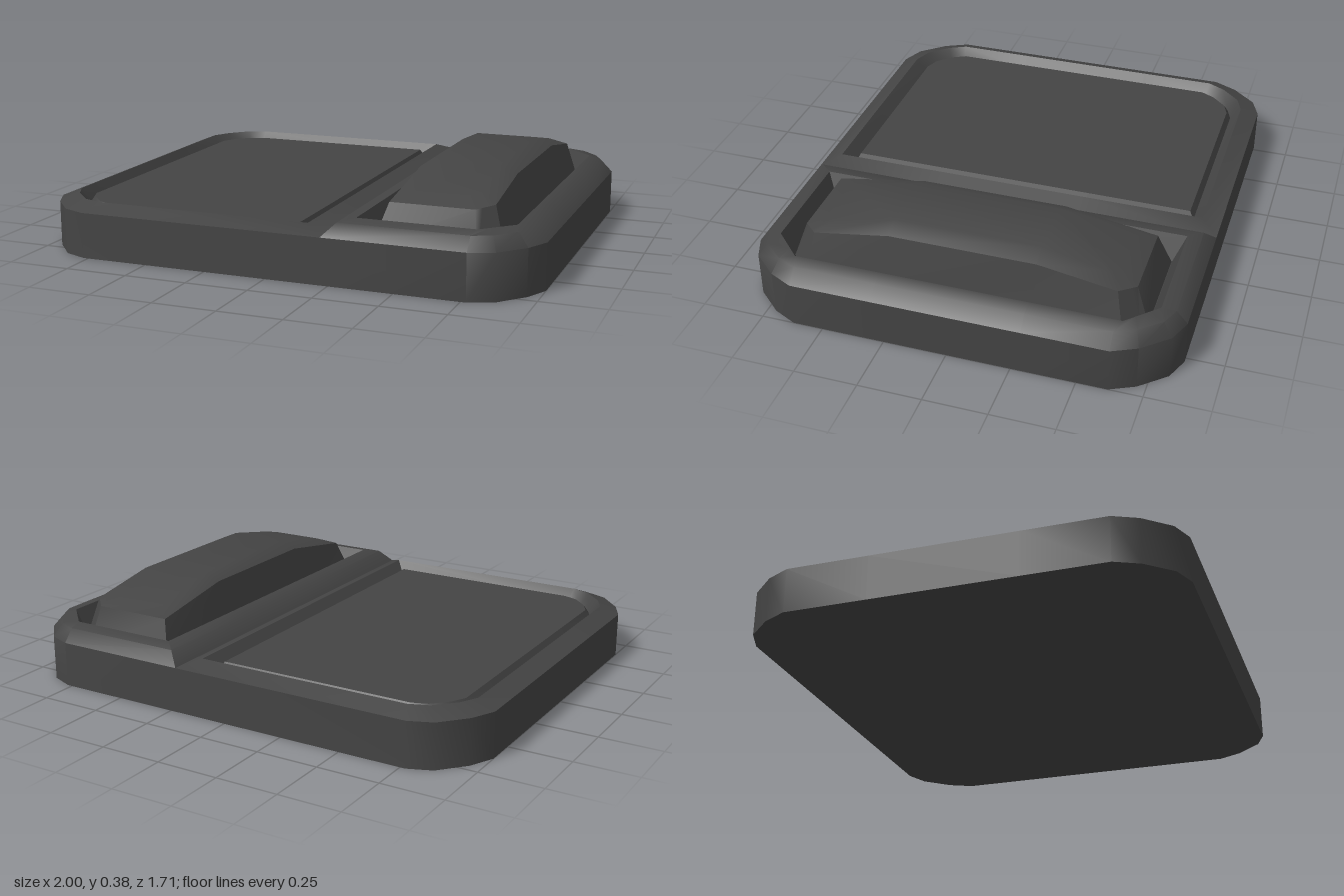
import * as THREE from 'three';
import { toCreasedNormals } from 'three/addons/utils/BufferGeometryUtils.js';

const ROUND = [[0, 1], [0.41, 0.84], [0.8, 0.41], [1, 0]];
const CHAMFER = [[0, 1], [1 / 3, 2 / 3], [2 / 3, 1 / 3], [1, 0]];
const MID = 0.29;

// One closed outline: a straight side at xs, a cut-cornered side at xr.
// y is a height, or a rule giving height from z.
function ring(y, xs, xr, z, cx, cz, corner = ROUND) {
  const s = Math.sign(xr - xs);
  const height = typeof y === 'function' ? y : () => y;
  const half = [[xs, z], ...corner.map(([u, v]) => [xr - s * cx * (1 - u), z - cz * (1 - v)]), [xr, MID]];
  const back = half.map(([px, pz]) => [px, -pz]).reverse();
  return [...half, ...back, [xs, -MID], [xs, MID]].map(([px, pz]) => new THREE.Vector3(px, height(pz), pz));
}

// Skins stacked outlines and closes both ends; flip for outlines mirrored in x.
function loft(rings, flip = false) {
  const pos = [];
  const tri = (a, b, c) => {
    for (const p of flip ? [a, c, b] : [a, b, c]) pos.push(p.x, p.y, p.z);
  };
  for (let k = 0; k < rings.length - 1; k++) {
    const lo = rings[k], hi = rings[k + 1], n = lo.length;
    for (let i = 0; i < n; i++) {
      const j = (i + 1) % n;
      tri(lo[i], lo[j], hi[j]);
      tri(lo[i], hi[j], hi[i]);
    }
  }
  const cap = (r, down) => {
    for (const f of [[0, 1, 2, 3, 4, 5, 13], [13, 5, 6, 12], [12, 6, 7, 8, 9, 10, 11]]) {
      for (let i = 1; i < f.length - 1; i++) {
        if (down) tri(r[f[0]], r[f[i + 1]], r[f[i]]);
        else tri(r[f[0]], r[f[i]], r[f[i + 1]]);
      }
    }
  };
  cap(rings[0], true);
  cap(rings[rings.length - 1], false);
  const geo = new THREE.BufferGeometry();
  geo.setAttribute('position', new THREE.Float32BufferAttribute(pos, 3));
  return toCreasedNormals(geo, 0.7);
}

export function createModel() {
  const group = new THREE.Group();
  const darkGrey = new THREE.MeshStandardMaterial({ color: 0x444444 });
  darkGrey.name = 'darkGrey';
  const add = (name, geometry) => {
    const mesh = new THREE.Mesh(geometry, darkGrey);
    mesh.name = name;
    group.add(mesh);
  };

  // Wide half: bevelled rim, then a groove around a raised flat panel
  add('widePanel', loft([
    ring(0, 0.22, -1, 0.853, 0.23, 0.233),
    ring(0.18, 0.22, -1, 0.853, 0.23, 0.233),
    ring(0.21, 0.145, -0.925, 0.78, 0.19, 0.18),
    ring(0.16, 0.1, -0.888, 0.737, 0.16, 0.15),
    ring(0.19, 0.085, -0.868, 0.72, 0.15, 0.14),
  ], true));

  // Narrow half: softer, taller rim around a chamfered well
  add('narrowFrame', loft([
    ring(0, 0.22, 1, 0.853, 0.23, 0.233),
    ring(0.18, 0.22, 1, 0.853, 0.23, 0.233),
    ring(0.23, 0.27, 0.95, 0.81, 0.18, 0.19),
    ring(0.24, 0.325, 0.895, 0.755, 0.115, 0.115, CHAMFER),
    ring(0.14, 0.37, 0.848, 0.71, 0.08, 0.08, CHAMFER),
  ]));

  // Raised rocker with a crowned top that falls away at both ends
  const slope = (top, drop) => (z) => top - drop * Math.max(0, Math.abs(z) - MID);
  add('rocker', loft([
    ring(0.135, 0.37, 0.848, 0.71, 0.08, 0.08, CHAMFER),
    ring(slope(0.345, 0.164), 0.417, 0.803, 0.657, 0.06, 0.06, CHAMFER),
    ring(slope(0.375, 0.203), 0.482, 0.735, 0.585, 0.04, 0.04, CHAMFER),
  ]));

  return group;
}
